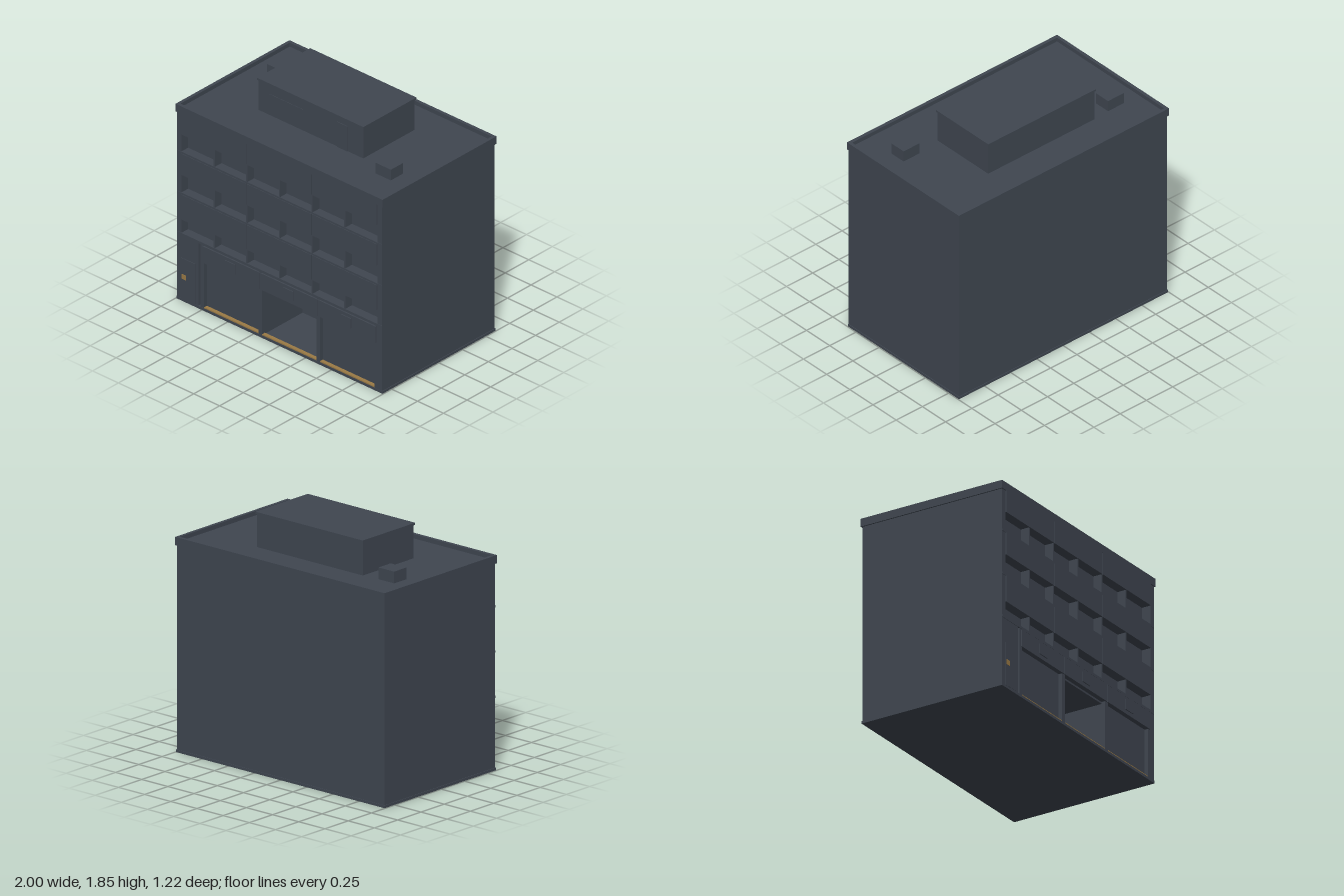
import * as THREE from 'three';

export function createModel() {
  const model = new THREE.Group();
  model.name = 'officeBuilding';
  const slate = new THREE.MeshStandardMaterial({ name: 'slate', color: 0x3f4650 });
  const gold = new THREE.MeshStandardMaterial({ name: 'gold', color: 0x9a7a45 });

  // box given by its limits on each axis
  const box = (name, [x0, x1], [y0, y1], [z0, z1], mat = slate) => {
    const mesh = new THREE.Mesh(new THREE.BoxGeometry(x1 - x0, y1 - y0, z1 - z0), mat);
    mesh.position.set((x0 + x1) / 2, (y0 + y1) / 2, (z0 + z1) / 2);
    mesh.name = name;
    model.add(mesh);
    return mesh;
  };

  const FRONT = 0.59;   // main facade plane
  const BACK = -0.6;
  const INNER = 0.52;   // back of the window recesses

  // Main volume: upper storeys, then the ground floor around the open entrance
  box('upperCore', [-0.99, 0.99], [0.54, 1.57], [BACK, INNER]);
  box('groundCore', [-0.99, 0.99], [0.02, 0.54], [BACK, 0.16]);
  box('groundRight', [-0.99, -0.17], [0.02, 0.54], [0.16, 0.56]);
  box('groundLeft', [0.355, 0.99], [0.02, 0.54], [0.16, 0.56]);
  box('entranceCeiling', [-0.17, 0.355], [0.385, 0.54], [0.16, 0.56]);
  box('plinth', [-0.995, 0.995], [0, 0.02], [-0.605, 0.593]);

  // Corner piers of the upper facade
  for (const s of [-1, 1]) {
    box('cornerPier', s < 0 ? [-0.99, -0.948] : [0.944, 0.99], [0.54, 1.55], [INNER, FRONT]);
  }

  // Three office storeys: slab, recessed lower window strip, flush upper panels
  const storeys = [
    { slab: 0.54, sill: 0.56, head: 0.675, top: 0.88 },
    { slab: 0.88, sill: 0.895, head: 1.045, top: 1.22 },
    { slab: 1.22, sill: 1.235, head: 1.38, top: 1.55 },
  ];
  const left = -0.948, bay = 1.892 / 6;
  for (const { slab, sill, head, top } of storeys) {
    box('floorSlab', [-0.99, 0.99], [slab, sill], [INNER, 0.593]);
    for (let i = 1; i < 6; i++) {
      const x = left + i * bay;
      box('bayFin', [x - 0.006, x + 0.006], [sill, top], [INNER, FRONT]);
    }
    for (let i = 0; i < 3; i++) {
      const x = left + i * 2 * bay;
      box('upperPanel', [x + 0.003, x + 2 * bay - 0.003], [head, top], [INNER, 0.597]);
    }
  }

  // Shopfront piers
  for (const [x0, x1] of [[-0.765, -0.73], [-0.205, -0.17], [0.355, 0.39], [0.915, 0.945]]) {
    box('shopPier', [x0, x1], [0.02, 0.54], [0.56, FRONT]);
  }
  box('shopEndPier', [0.945, 0.99], [0.02, 0.54], [0.56, FRONT]);

  // Three fascia boards, their hanging plates and the gold thresholds
  for (let i = 0; i < 3; i++) {
    const x = -0.745 + i * 0.56;
    box('fascia', [x + 0.002, x + 0.558], [0.4, 0.535], [0.56, 0.598]);
    box('fasciaPlate', [x + 0.23, x + 0.325], [0.43, 0.51], [0.598, 0.605]);
    box('threshold', [x + 0.015, x + 0.54], [0.02, 0.029], [0.56, 0.589], gold);
  }

  // Side entrance on the model's right
  box('sideEntranceWall', [-0.99, -0.785], [0.02, 0.54], [0.56, FRONT]);
  box('sideDoor', [-0.95, -0.815], [0.02, 0.355], [FRONT, 0.595]);
  box('sideDoorPlate', [-0.94, -0.9], [0.185, 0.225], [0.595, 0.597], gold);

  // Parapet ring around the roof deck
  box('parapetFront', [-1, 1], [1.55, 1.612], [0.57, 0.597]);
  box('parapetBack', [-1, 1], [1.55, 1.612], [-0.61, -0.585]);
  for (const s of [-1, 1]) {
    box('parapetSide', s < 0 ? [-1, -0.975] : [0.975, 1], [1.55, 1.612], [-0.585, 0.57]);
  }
  box('roofDeck', [-0.975, 0.975], [1.55, 1.58], [-0.585, 0.57]);

  // Rooftop penthouse with cap, door and window
  box('penthouse', [-0.54, 0.47], [1.58, 1.83], [-0.325, 0.22]);
  box('penthouseCap', [-0.548, 0.478], [1.83, 1.846], [-0.335, 0.228]);
  box('penthouseDoor', [0.22, 0.32], [1.58, 1.787], [0.22, 0.226]);
  box('penthouseWindow', [-0.43, -0.11], [1.66, 1.755], [0.22, 0.224]);

  // Rooftop service boxes
  box('serviceBox', [-0.83, -0.68], [1.58, 1.668], [-0.315, -0.185]);
  box('serviceBox', [0.673, 0.823], [1.58, 1.668], [0.187, 0.315]);

  return model;
}
